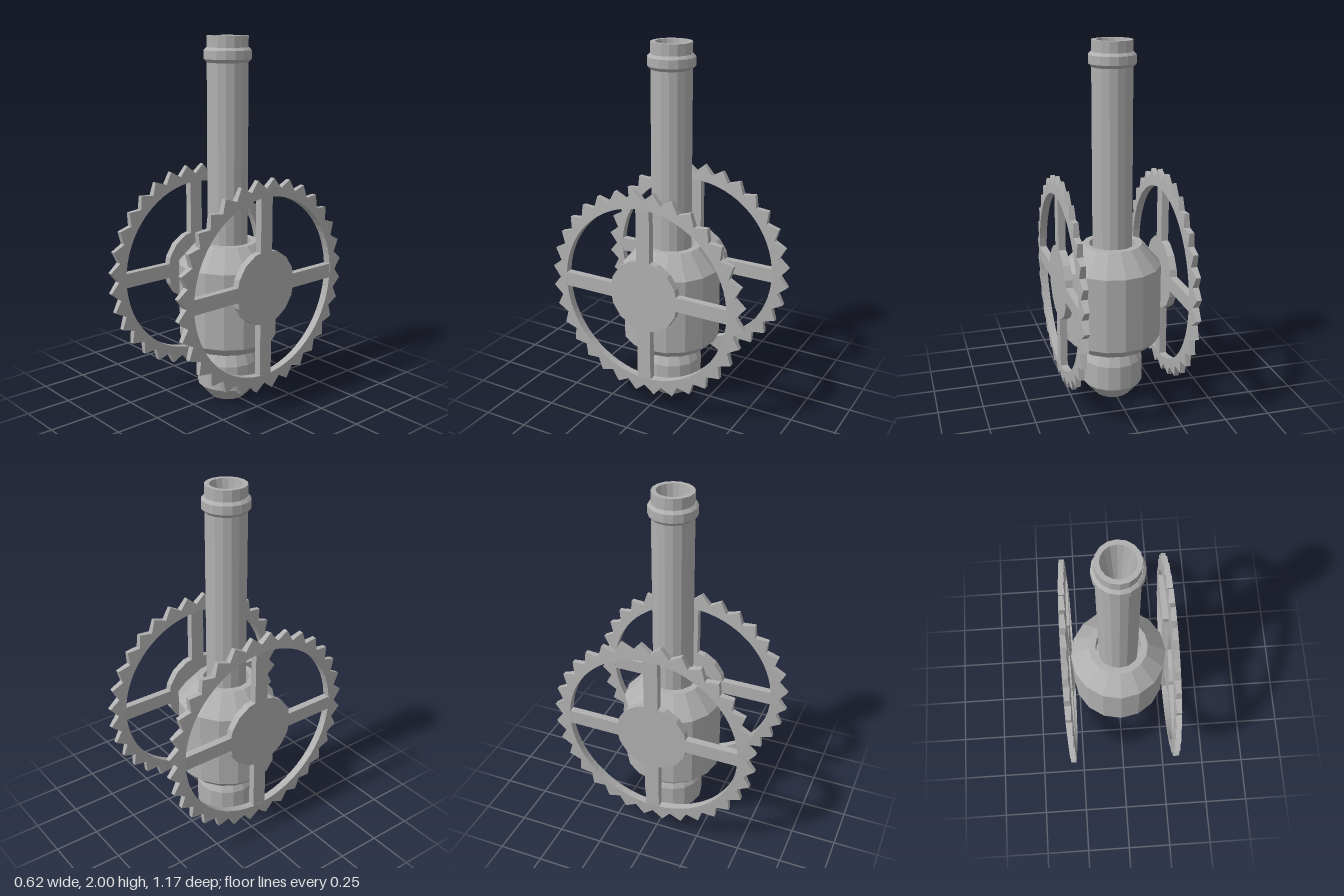
import * as THREE from 'three';

const SIDES = 16;
const TEETH = 32;

export function createModel() {
  const model = new THREE.Group();
  model.name = 'gearedCannon';
  const metal = new THREE.MeshStandardMaterial({ color: 0xb0b0b0, flatShading: true });
  metal.name = 'grey metal';

  const add = (parent, name, geometry) => {
    const mesh = new THREE.Mesh(geometry, metal);
    mesh.name = name;
    parent.add(mesh);
    return mesh;
  };
  // Turned part from [radius, height] pairs, bottom to top
  const turned = (name, profile) => add(model, name,
    new THREE.LatheGeometry(profile.map(([r, y]) => new THREE.Vector2(r, y)), SIDES));

  // Rounded breech under the body
  turned('breech', [[0, 0], [0.1, 0], [0.17, 0.08], [0.17, 0.22], [0.13, 0.31], [0.13, 0.34]]);

  // Body with a recess around the barrel
  turned('body', [[0, 0.31], [0.22, 0.31], [0.27, 0.36], [0.27, 0.78], [0.165, 0.9],
    [0.128, 0.9], [0.128, 0.8], [0, 0.8]]);

  // Barrel with tapered bore
  turned('barrel', [[0.11, 0.8], [0.11, 2], [0.085, 2], [0.027, 1.6], [0, 1.6]]);
  turned('muzzleRing', [[0.108, 1.86], [0.127, 1.88], [0.127, 1.925], [0.113, 1.94], [0.108, 1.94]]);

  // Toothed rim: a four-point section swept round x, thinner towards the tooth tips
  const rimGeometry = () => {
    const n = TEETH * 2, positions = [], index = [];
    for (let i = 0; i < n; i++) {
      const a = (i / n) * Math.PI * 2;
      const tip = i % 2 === 1;
      const outer = tip ? 0.586 : 0.535, edge = tip ? 0.013 : 0.0175;
      for (const [x, r] of [[0.021, 0.49], [edge, outer], [-edge, outer], [-0.021, 0.49]]) {
        positions.push(x, r * Math.cos(a), r * Math.sin(a));
      }
      const j = (i + 1) % n;
      for (let k = 0; k < 4; k++) {
        const m = (k + 1) % 4;
        index.push(i * 4 + k, i * 4 + m, j * 4 + m, i * 4 + k, j * 4 + m, j * 4 + k);
      }
    }
    const g = new THREE.BufferGeometry();
    g.setAttribute('position', new THREE.Float32BufferAttribute(positions, 3));
    g.setIndex(index);
    g.computeVertexNormals();
    return g;
  };

  // Gear wheels on both sides
  for (const side of [1, -1]) {
    const wheel = new THREE.Group();
    wheel.name = side > 0 ? 'leftWheel' : 'rightWheel';
    wheel.position.set(side * 0.291, 0.7, 0);
    add(wheel, 'rim', rimGeometry());
    add(wheel, 'hub', new THREE.CylinderGeometry(0.205, 0.205, 0.04, SIDES)).rotation.z = Math.PI / 2;
    for (let i = 0; i < 4; i++) {
      const a = (i * Math.PI) / 2;
      const spoke = add(wheel, 'spoke', new THREE.BoxGeometry(0.04, 0.31, 0.08));
      spoke.position.set(0, 0.34 * Math.cos(a), 0.34 * Math.sin(a));
      spoke.rotation.x = a;
    }
    model.add(wheel);
  }
  return model;
}
